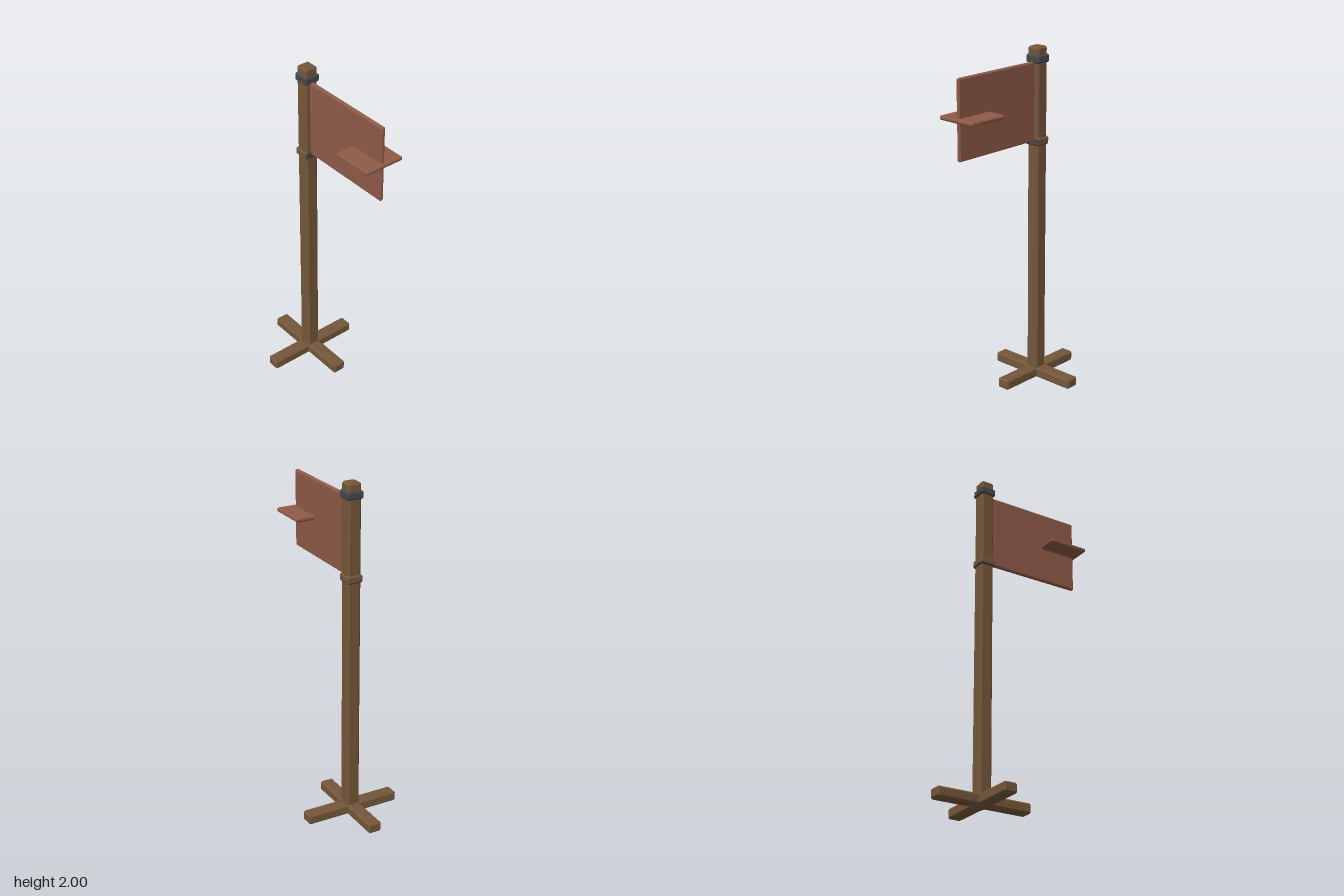
import * as THREE from 'three';
import { ConvexGeometry } from 'three/addons/geometries/ConvexGeometry.js';

const material = (name, color) => Object.assign(new THREE.MeshStandardMaterial({ color }), { name });

// Box with every edge chamfered by c, given by its centre and size
function chamferBox(name, mat, [x, y, z], [w, h, d], c) {
  const points = [];
  for (const sx of [-1, 1]) for (const sy of [-1, 1]) for (const sz of [-1, 1]) {
    for (let axis = 0; axis < 3; axis++) {
      const inset = [0, 1, 2].map((i) => (i === axis ? 0 : c));
      points.push(new THREE.Vector3(
        sx * (w / 2 - inset[0]), sy * (h / 2 - inset[1]), sz * (d / 2 - inset[2])));
    }
  }
  const mesh = new THREE.Mesh(new ConvexGeometry(points), mat);
  mesh.name = name;
  mesh.position.set(x, y, z);
  return mesh;
}

// Give faces pointing to +x or down the second material
function splitFaces(mesh, first, second) {
  const normal = mesh.geometry.attributes.normal;
  for (let i = 0; i < normal.count; i += 3) {
    const other = normal.getX(i) > 0.6 || normal.getY(i) < -0.6;
    mesh.geometry.addGroup(i, 3, other ? 1 : 0);
  }
  mesh.material = [first, second];
}

export function createModel() {
  const group = new THREE.Group();
  group.name = 'windVane';
  const wood = material('brown wood', 0x75573a);
  const iron = material('dark iron', 0x47474a);
  const panel = material('red brown panel', 0x8f5a47);
  const postX = -0.177;

  // Post and crossed feet
  group.add(chamferBox('post', wood, [postX, 1, 0], [0.08, 2, 0.08], 0.01));
  group.add(chamferBox('footAcross', wood, [postX, 0.035, 0], [0.58, 0.06, 0.08], 0.009));
  group.add(chamferBox('footAlong', wood, [postX, 0.035, 0], [0.08, 0.06, 0.58], 0.009));

  // Collars holding the vane
  group.add(chamferBox('upperCollar', iron, [postX, 1.932, 0], [0.096, 0.046, 0.096], 0.008));
  const lower = chamferBox('lowerCollar', wood, [postX, 1.462, 0], [0.096, 0.046, 0.096], 0.008);
  splitFaces(lower, wood, iron);
  group.add(lower);

  // Upright vane and its level tail plate
  group.add(chamferBox('vane', panel, [0.146, 1.69, 0], [0.604, 0.454, 0.024], 0.007));
  group.add(chamferBox('tailPlate', panel, [0.341, 1.69, 0], [0.248, 0.024, 0.246], 0.007));
  return group;
}
